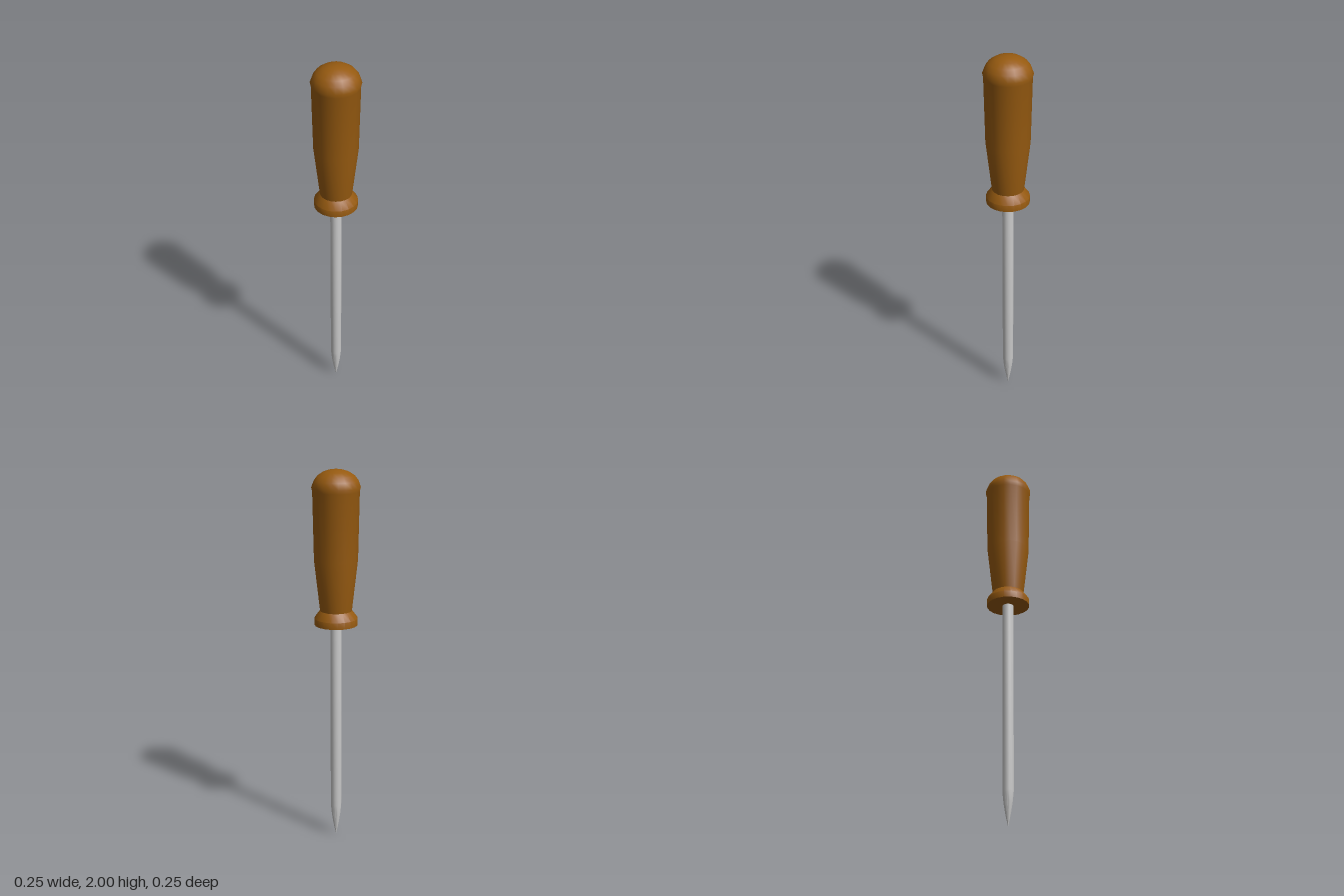
import * as THREE from 'three';
import { toCreasedNormals } from 'three/addons/utils/BufferGeometryUtils.js';

// Turned part from a [radius, height] profile, listed bottom to top
function turned(name, profile, sides, color) {
  const points = profile.map(([r, y]) => new THREE.Vector2(r, y));
  const geometry = toCreasedNormals(new THREE.LatheGeometry(points, sides), 0.7);
  const mesh = new THREE.Mesh(geometry, new THREE.MeshStandardMaterial({ color }));
  mesh.name = name;
  return mesh;
}

export function createModel() {
  const model = new THREE.Group();
  model.name = 'awl';

  // Wooden handle: flared collar, narrow neck, swelling grip, domed end
  model.add(turned('handle', [
    [0, 1.2], [0.113, 1.2], [0.113, 1.235], [0.083, 1.275],
    [0.113, 1.54], [0.12, 1.89], [0.125, 1.91], [0.113, 1.943],
    [0.095, 1.967], [0.065, 1.987], [0.033, 1.997], [0, 2],
  ], 20, 0x965a10));

  // Steel shaft, drawn to a slightly curved point
  model.add(turned('shaft', [
    [0, 0], [0.003, 0.012], [0.015, 0.07], [0.023, 0.12], [0.029, 0.18],
    [0.03, 1.22], [0, 1.22],
  ], 16, 0xcccccc));

  return model;
}
